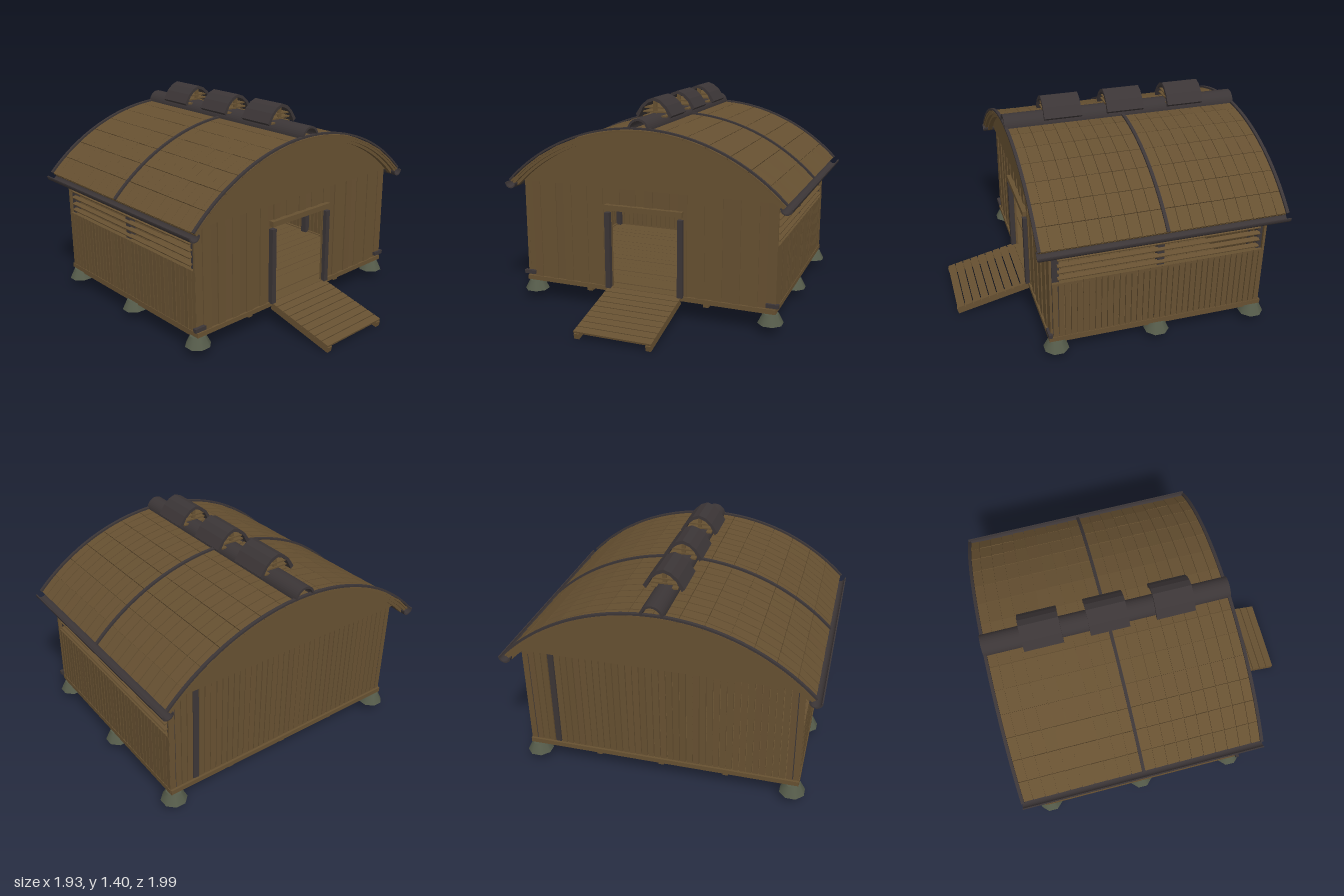
import * as THREE from 'three';
import { mergeGeometries } from 'three/addons/utils/BufferGeometryUtils.js';

const wood = new THREE.MeshStandardMaterial({ name: 'wood', color: 0x665031 });
const dark = new THREE.MeshStandardMaterial({ name: 'darkTimber', color: 0x3b3536 });
const stone = new THREE.MeshStandardMaterial({ name: 'stone', color: 0x555b4a });

// Roof curve: circle centre height, outer radius and half angle
const CY = -0.07, R = 1.3, HALF = 0.795;
const ROOF_FRONT = 0.575, ROOF_BACK = -0.995;

let seed = 7;
function jitter(amount) {
  seed = (seed * 16807) % 2147483647;
  return (seed / 2147483647 - 0.5) * 2 * amount;
}

function box(w, h, d, x, y, z, rx = 0, ry = 0, rz = 0) {
  const g = new THREE.BoxGeometry(w, h, d);
  g.rotateX(rx).rotateY(ry).rotateZ(rz);
  return g.translate(x, y, z);
}

function extrude(shape, z0, z1, segments = 16) {
  const g = new THREE.ExtrudeGeometry(shape, { depth: z1 - z0, bevelEnabled: false, curveSegments: segments });
  return g.translate(0, 0, z0);
}

// Curved strip between two radii, spanning an angle range measured from +x
function arcStrip(cx, cy, rIn, rOut, a0, a1) {
  const s = new THREE.Shape();
  s.absarc(cx, cy, rOut, a0, a1, false);
  s.absarc(cx, cy, rIn, a1, a0, true);
  s.closePath();
  return s;
}

function roofStrip(rIn, rOut, z0, z1) {
  return extrude(arcStrip(0, CY, rIn, rOut, Math.PI / 2 - HALF, Math.PI / 2 + HALF), z0, z1, 28);
}

export function createModel() {
  const group = new THREE.Group();
  group.name = 'barn';
  const part = (name, material, geos) => {
    const flat = geos.map((g) => (g.index ? g.toNonIndexed() : g));
    const mesh = new THREE.Mesh(mergeGeometries(flat), material);
    mesh.name = name;
    group.add(mesh);
  };
  const sides = [-1, 1];
  const postZ = [0.455, -0.205, -0.87];

  // Footings and posts along both sides
  const feet = [], posts = [];
  for (const s of sides) for (const z of postZ) {
    const foot = new THREE.CylinderGeometry(0.05, 0.082, 0.065, 8);
    foot.rotateY(Math.PI / 8);
    feet.push(foot.translate(s * 0.825, 0.0925, z));
    posts.push(box(0.04, 0.72, 0.045, s * 0.825, 0.48, z));
  }
  part('footings', stone, feet);
  part('posts', dark, posts);

  // Floor planks on long beams
  const floor = [];
  for (let i = 0; i < 18; i++) {
    floor.push(box(1.7, 0.022, 0.073, 0, 0.148 + jitter(0.002), 0.445 - i * 0.0765));
  }
  for (const x of [-0.82, -0.41, 0, 0.41, 0.82]) floor.push(box(0.035, 0.035, 1.36, x, 0.12, -0.205));
  part('floor', wood, floor);

  // Sill beams around the base
  part('sills', wood, [
    ...sides.map((s) => box(0.035, 0.03, 1.38, s * 0.85, 0.152, -0.205)),
    box(1.73, 0.03, 0.03, 0, 0.15, 0.49),
    box(1.73, 0.03, 0.03, 0, 0.15, -0.895),
  ]);
  part('beamEnds', dark, sides.map((s) => box(0.08, 0.025, 0.025, s * 0.845, 0.19, 0.5)));

  // Front wall with an open doorway
  const front = [];
  const n = 30, pitch = 1.73 / n;
  for (let i = 0; i < n; i++) {
    const x = -0.865 + pitch * (i + 0.5);
    const door = Math.abs(x) < 0.25;
    const low = door ? 0.7 : 0.14;
    front.push(box(pitch * 1.02, 0.835 - low, 0.014, x, (0.835 + low) / 2, 0.483 + (i % 2) * 0.007, 0, jitter(0.06)));
  }
  part('frontWall', wood, front);
  part('doorLintel', wood, [box(0.53, 0.035, 0.04, 0, 0.705, 0.505)]);
  part('doorPosts', dark, sides.map((s) => box(0.034, 0.51, 0.034, s * 0.25, 0.415, 0.507)));

  // Back wall of narrow boards, one of them dark
  const back = [], darkBack = [];
  for (let i = 0; i < 42; i++) {
    const x = -0.845 + i * 0.0412;
    const board = box(0.036, 0.69, 0.016, x, 0.488, -0.888, 0, jitter(0.08), jitter(0.002));
    (i === 37 ? darkBack : back).push(board);
  }
  part('backWall', wood, back);
  part('darkBackBoard', dark, darkBack);

  // Side walls: boards below, open louvres above
  const boards = [], louvres = [];
  for (const s of sides) {
    for (let i = 0; i < 36; i++) {
      const z = 0.462 - i * 0.0383 + (s < 0 ? 0.014 : 0);
      boards.push(box(0.016, 0.42, 0.032, s * 0.856, 0.35, z, jitter(0.004), jitter(0.08)));
    }
    boards.push(box(0.03, 0.02, 1.36, s * 0.845, 0.55, -0.205));
    for (let i = 0; i < 5; i++) {
      louvres.push(box(0.03, 0.008, 1.3, s * 0.85, 0.59 + i * 0.045, -0.205, jitter(0.002), 0, -s * 0.35));
    }
    louvres.push(box(0.04, 0.035, 1.38, s * 0.83, 0.82, -0.205));
  }
  part('sideBoards', wood, boards);
  part('louvres', wood, louvres);

  // Curved gable panels
  const gable = new THREE.Shape();
  const gr = R - 0.035, ga = Math.asin((0.83 - CY) / gr);
  gable.absarc(0, CY, gr, ga, Math.PI - ga, false);
  gable.closePath();
  part('gables', wood, [extrude(gable, 0.485, 0.505, 28), extrude(gable, -0.91, -0.89, 28)]);

  // Roof lining and arched ribs beneath it
  part('roofLining', wood, [
    roofStrip(R - 0.036, R - 0.018, ROOF_BACK + 0.01, ROOF_FRONT - 0.01),
    ...[0.53, -0.205, -0.955].map((z) => roofStrip(R - 0.055, R - 0.034, z - 0.015, z + 0.015)),
  ]);

  // Roof shingles in rows along the curve
  const shingles = [];
  const cols = 14, rows = 20, step = (2 * HALF) / cols, dz = (ROOF_FRONT - ROOF_BACK) / rows;
  for (let c = 0; c < cols; c++) {
    const a = -HALF + step * (c + 0.5), r = R - 0.013;
    for (let k = 0; k < rows; k++) {
      const z = ROOF_BACK + dz * (k + 0.5);
      shingles.push(box(step * R * 0.97, 0.012, dz * 0.95, r * Math.sin(a), CY + r * Math.cos(a), z, 0.03, 0, -a + jitter(0.02)));
    }
  }
  part('shingles', wood, shingles);

  // Dark bands over the roof
  part('roofBands', dark, [ROOF_FRONT - 0.01, -0.21, ROOF_BACK + 0.01].map((z) =>
    roofStrip(R - 0.003, R + 0.009, z - 0.01, z + 0.01)));

  // Half-round gutters
  part('gutters', dark, sides.map((s) =>
    extrude(arcStrip(s * 0.927, 0.823, 0.031, 0.039, Math.PI, 2 * Math.PI), ROOF_BACK, ROOF_FRONT, 10)));

  // Ridge cap
  part('ridgeCap', dark, [extrude(arcStrip(0, 1.225, 0.056, 0.07, 0, Math.PI), ROOF_BACK, ROOF_FRONT, 10)]);

  // Raised ridge vents with slats below
  const hood = new THREE.Shape();
  const half = [[0.125, 1.285], [0.085, 1.345], [0.045, 1.38]];
  const inner = [[0.04, 1.36], [0.075, 1.328], [0.106, 1.268]];
  hood.moveTo(...half[0]);
  for (const p of half.slice(1)) hood.lineTo(...p);
  hood.lineTo(0, 1.397);
  for (const [x, y] of [...half].reverse()) hood.lineTo(-x, y);
  for (const [x, y] of [...inner].reverse()) hood.lineTo(-x, y);
  hood.lineTo(0, 1.376);
  for (const p of inner) hood.lineTo(...p);
  hood.closePath();
  const hoods = [], ventSlats = [];
  for (const z of [0.205, -0.21, -0.623]) {
    hoods.push(extrude(hood, z - 0.123, z + 0.123));
    [[0.16, 1.275], [0.16, 1.303], [0.14, 1.33]].forEach(([w, y]) => ventSlats.push(box(w, 0.009, 0.22, 0, y, z)));
    for (const e of sides) ventSlats.push(box(0.025, 0.09, 0.015, 0, 1.33, z + e * 0.095));
  }
  part('ventHoods', dark, hoods);
  part('ventSlats', wood, ventSlats);

  // Entrance ramp
  const ramp = [], tilt = Math.atan2(0.115, 0.5);
  for (const s of sides) ramp.push(box(0.034, 0.036, 0.5, s * 0.235, 0.075, 0.747, tilt));
  for (let i = 0; i < 9; i++) {
    const t = (i + 0.5) / 9;
    ramp.push(box(0.51, 0.013, 0.05, 0, 0.157 - t * 0.112, 0.502 + t * 0.492, tilt + jitter(0.02)));
  }
  part('ramp', wood, ramp);

  return group;
}
